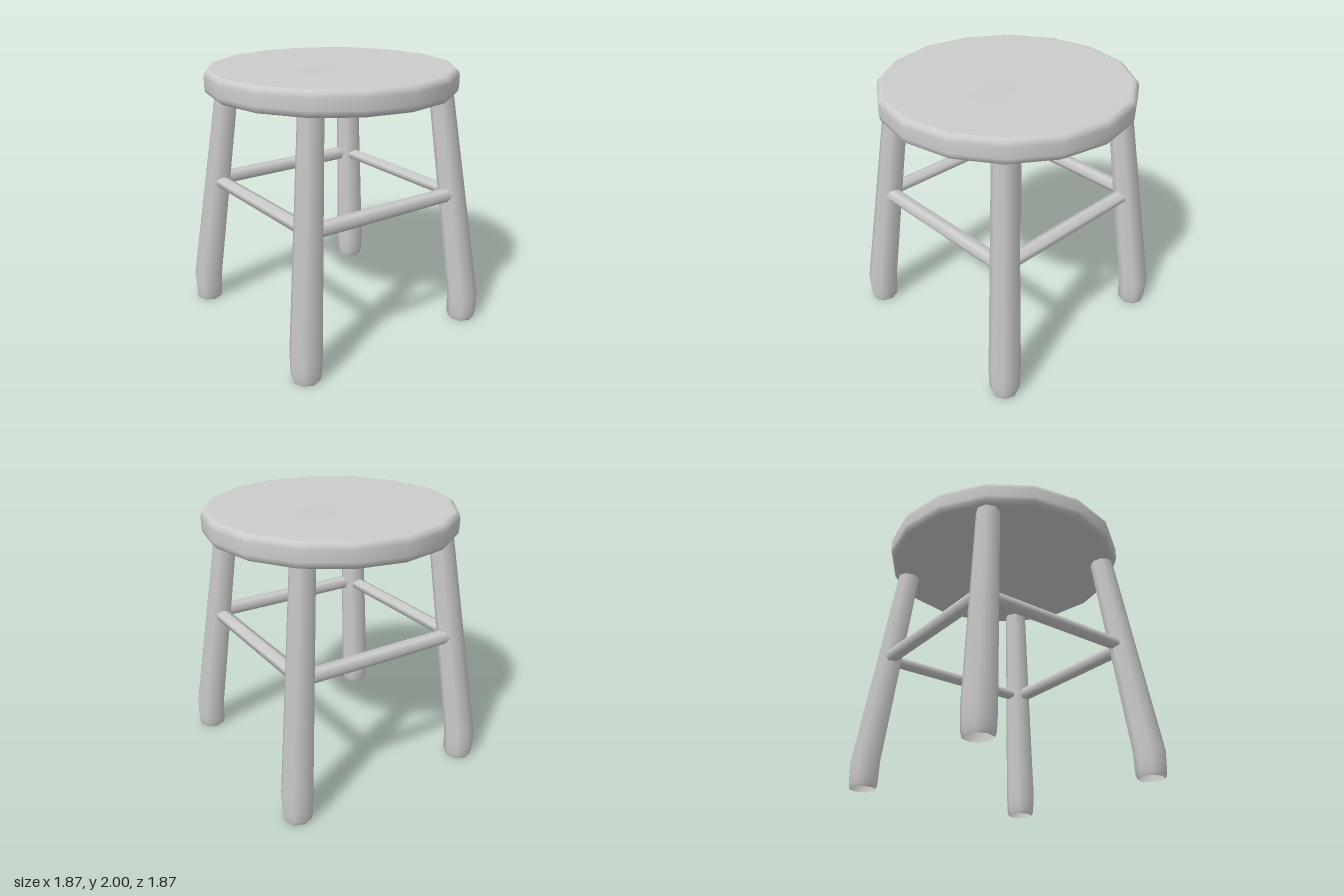
import * as THREE from 'three';

const material = new THREE.MeshStandardMaterial({ color: 0xcccccc, side: THREE.DoubleSide });
const points = (list) => list.map(([r, y]) => new THREE.Vector2(r, y));

function addMesh(group, geometry, name) {
  const mesh = new THREE.Mesh(geometry, material);
  mesh.name = name;
  group.add(mesh);
  return mesh;
}

// Sixteen-sided seat with a softened rim and a shallow conical underside
function seatGeometry() {
  return new THREE.LatheGeometry(points([
    [0, 1.75], [0.885, 1.816], [0.91, 1.82], [0.932, 1.84], [0.937, 1.87],
    [0.937, 1.95], [0.93, 1.98], [0.91, 1.997], [0.89, 2], [0, 1.995],
  ]), 16);
}

// Open-ended leg: upright swollen foot, then a taper leaning toward the centre
function legGeometry(sx, sz) {
  const geometry = new THREE.LatheGeometry(points([
    [0.1, 0], [0.11, 0.03], [0.114, 0.1], [0.117, 0.2], [0.09, 1.82],
  ]), 8);
  const pos = geometry.attributes.position;
  for (let i = 0; i < pos.count; i++) {
    const y = pos.getY(i);
    const offset = 0.75 - 0.175 * Math.max(0, y - 0.2) / 1.61;
    pos.setX(i, pos.getX(i) + sx * offset);
    pos.setZ(i, pos.getZ(i) + sz * offset);
  }
  return geometry;
}

// Six-sided rail along z; turn sets which way its edges point
function railGeometry(radiusX, radiusY, turn) {
  return new THREE.CylinderGeometry(1, 1, 1.26, 6)
    .rotateY(turn).rotateX(Math.PI / 2).scale(radiusX, radiusY, 1);
}

export function createModel() {
  const stool = new THREE.Group();
  stool.name = 'stool';
  addMesh(stool, seatGeometry(), 'seat');

  for (const sx of [-1, 1]) {
    for (const sz of [-1, 1]) {
      addMesh(stool, legGeometry(sx, sz), (sz > 0 ? 'front' : 'back') + (sx > 0 ? 'Left' : 'Right') + 'Leg');
    }
  }

  // Rails whose ends are buried in the legs
  for (const s of [-1, 1]) {
    const cross = railGeometry(0.06, 0.046, 0).rotateY(Math.PI / 2);
    addMesh(stool, cross, s > 0 ? 'frontRail' : 'backRail').position.set(0, 1.053, s * 0.655);
    const side = railGeometry(0.06, 0.053, Math.PI / 2);
    addMesh(stool, side, s > 0 ? 'leftRail' : 'rightRail').position.set(s * 0.675, 1.055, 0);
  }
  return stool;
}
